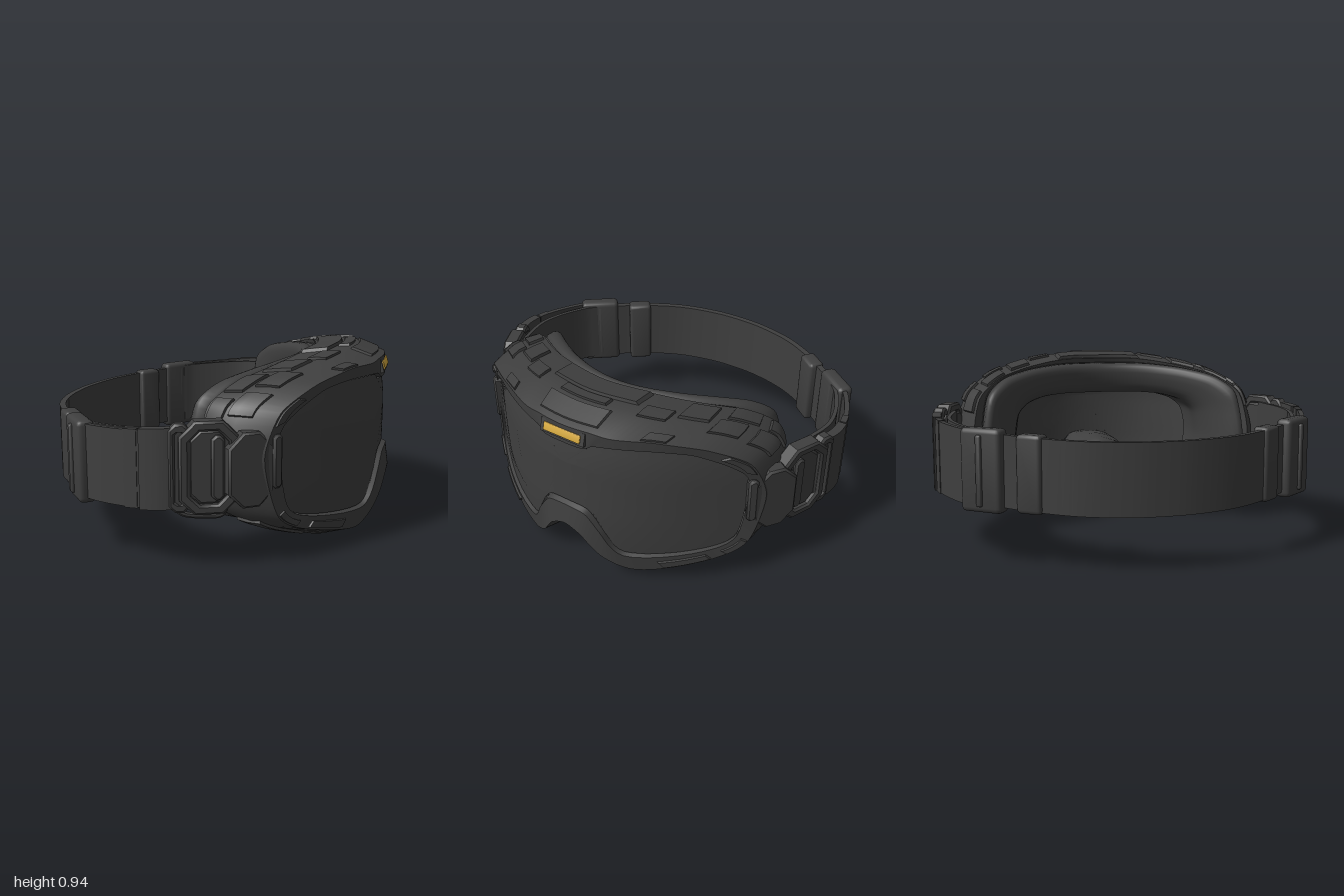
import * as THREE from 'three';
import { toCreasedNormals } from 'three/addons/utils/BufferGeometryUtils.js';
import { RoundedBoxGeometry } from 'three/addons/geometries/RoundedBoxGeometry.js';

const charcoal = new THREE.MeshStandardMaterial({ color: 0x3f3f3f, side: THREE.DoubleSide });
charcoal.name = 'charcoal';
const gold = new THREE.MeshStandardMaterial({ color: 0xd8ab40 });
gold.name = 'gold';

// Half outlines as [z, y], from top centre round the left side to the nose
const LENS = [[0, .77], [.11, .77], [.16, .8], [.4, .81], [.56, .79], [.69, .715], [.765, .62], [.735, .28], [.61, .2], [.28, .165], [.18, .32], [.11, .41], [0, .425]];
const RIM = [[0, .88], [.14, .88], [.24, .87], [.42, .87], [.62, .825], [.78, .72], [.84, .52], [.79, .24], [.66, .14], [.33, .05], [.19, .12], [.09, .255], [0, .3]];
const SHELL = [[0, .935], [.15, .935], [.28, .925], [.46, .895], [.65, .84], [.8, .73], [.86, .5], [.8, .24], [.66, .13], [.33, .003], [.18, .07], [.08, .215], [0, .258]];
const BACK = [[0, .91], [.15, .91], [.28, .9], [.45, .87], [.62, .82], [.74, .72], [.78, .5], [.75, .27], [.62, .165], [.33, .065], [.19, .12], [.085, .25], [0, .29]];
const FOAM = [[0, .885], [.15, .885], [.28, .88], [.45, .86], [.6, .82], [.7, .73], [.735, .5], [.715, .28], [.6, .15], [.34, .06], [.2, .12], [.09, .26], [0, .3]];
const OPENING = [[0, .71], [.12, .71], [.22, .71], [.35, .7], [.45, .67], [.51, .61], [.53, .48], [.51, .36], [.44, .28], [.33, .23], [.24, .29], [.13, .4], [0, .44]];

const mix = (a, b, t) => a.map((p, i) => p.map((c, j) => c + (b[i][j] - c) * t));
const scaled = (o, s) => o.map(([z, y]) => [z * s, .66 + (y - .66) * s]);

// Wrapped front curve: falls away to the sides, the brow and the chin
const front = (z, y) => .84 - .7 * z * z - .5 * Math.max(0, y - .6) ** 2 - .8 * Math.max(0, .3 - y) ** 2;

// Closed ring on the front curve, set back by depth d, which grows by k to the sides
function ring(outline, d, k = .2) {
  const mirrored = outline.slice(1, -1).reverse().map(([z, y]) => [-z, y]);
  const points = [...outline, ...mirrored].map(([z, y]) => new THREE.Vector3(0, y, z));
  const c = new THREE.CatmullRomCurve3(points, true, 'catmullrom', .38);
  return u => {
    const p = c.getPoint(((u % 1) + 1) % 1);
    p.x = front(p.z, p.y) - d * (1 + k * p.z * p.z);
    return p;
  };
}

// Skin over a list of rings
function loft(rings, n = 144) {
  const pos = [], index = [];
  rings.forEach((r, j) => {
    for (let i = 0; i < n; i++) {
      pos.push(...r(i / n).toArray());
      if (!j) continue;
      const k = (i + 1) % n, a = (j - 1) * n, b = j * n;
      index.push(a + i, b + i, a + k, b + i, b + k, a + k);
    }
  });
  const g = new THREE.BufferGeometry();
  g.setAttribute('position', new THREE.Float32BufferAttribute(pos, 3));
  g.setIndex(index);
  return g;
}

// Bend a box by a rule taking (x, y, z) in -0.5..0.5
function bentBox(segments, rule) {
  const g = new THREE.BoxGeometry(1, 1, 1, segments, 1, 2), p = g.attributes.position;
  for (let i = 0; i < p.count; i++) p.setXYZ(i, ...rule(p.getX(i), p.getY(i), p.getZ(i)).toArray());
  return g;
}

const frameRings = [ring(LENS, .03), ring(mix(LENS, RIM, .12), -.018), ring(RIM, -.034), ring(SHELL, .1), ring(mix(SHELL, BACK, .35), .2), ring(BACK, .32), ring(mix(BACK, OPENING, .3), .32)];

function surface(u, v) {
  const j = Math.min(Math.floor(v), frameRings.length - 2);
  return frameRings[j](u).lerp(frameRings[j + 1](u), v - j);
}

// Raised panel on the frame: k counts outline points, v counts rings
function panel(k0, k1, v0, v1, h) {
  return bentBox(10, (x, y, z) => {
    const inset = y > 0 ? .9 : 1;
    const u = ((k0 + k1) / 2 + x * inset * (k1 - k0)) / 24, v = (v0 + v1) / 2 + z * inset * (v1 - v0);
    const p = surface(u, v);
    const du = surface(u + .004, v).sub(surface(u - .004, v));
    const dv = surface(u, v + .04).sub(surface(u, v - .04));
    return p.addScaledVector(dv.cross(du).normalize(), y > 0 ? h : -.012);
  });
}

// Strap band along a path of [x, z]
const strapY = x => .435 + .05 * (x + .88) / .88;
function band(path, t0, t1, height, thick) {
  const c = new THREE.CatmullRomCurve3(path.map(([x, z]) => new THREE.Vector3(x, 0, z)));
  return bentBox(40, (x, y, z) => {
    const t = t0 + (x + .5) * (t1 - t0), p = c.getPoint(t), d = c.getTangent(t);
    p.y = strapY(p.x) + y * height;
    return p.add(new THREE.Vector3(-d.z, 0, d.x).multiplyScalar(z * thick));
  });
}

const place = (g, x, y, z, yaw) => g.rotateY(yaw).translate(x, y, z);

function octagon(path, w, h, c) {
  [[-w + c, -h], [w - c, -h], [w, -h + c], [w, h - c], [w - c, h], [-w + c, h], [-w, h - c], [-w, -h + c]]
    .forEach(([x, y], i) => i ? path.lineTo(x, y) : path.moveTo(x, y));
  path.closePath();
  return path;
}

// Chamfered plate with an optional window
function plate(w, h, c, depth, border = 0) {
  const s = octagon(new THREE.Shape(), w / 2, h / 2, c);
  if (border) s.holes.push(octagon(new THREE.Path(), w / 2 - border, h / 2 - border, c * .7));
  const b = .01;
  return new THREE.ExtrudeGeometry(s, { depth, bevelEnabled: true, bevelThickness: b, bevelSize: b, bevelOffset: -b, bevelSegments: 1 }).translate(0, 0, -depth / 2);
}

function mirror(g) {
  const m = g.index ? g.toNonIndexed() : g.clone();
  m.scale(1, 1, -1);
  const p = m.attributes.position, a = new THREE.Vector3(), b = new THREE.Vector3();
  for (let i = 0; i < p.count; i += 3) {
    a.fromBufferAttribute(p, i + 1);
    b.fromBufferAttribute(p, i + 2);
    p.setXYZ(i + 1, b.x, b.y, b.z);
    p.setXYZ(i + 2, a.x, a.y, a.z);
  }
  return m;
}

export function createModel() {
  const model = new THREE.Group();
  model.name = 'goggles';
  const add = (name, g, mat = charcoal, crease = .6) => {
    g.deleteAttribute('uv');
    g.deleteAttribute('normal');
    const m = new THREE.Mesh(toCreasedNormals(g, crease), mat);
    m.name = name;
    model.add(m);
  };
  const pair = (name, g) => {
    add(name + 'Right', mirror(g));
    add(name + 'Left', g);
  };

  // Lens, frame and face foam
  add('lens', loft([.0005, .25, .5, .75, 1].map(s => ring(scaled(LENS, s), .003))), charcoal, 1);
  add('frame', loft(frameRings));
  const foam = [ring(mix(BACK, OPENING, .12), .3), ring(FOAM, .315), ring(FOAM, .335), ring(mix(FOAM, OPENING, .1), .35)];
  for (let i = 0; i <= 12; i++) {
    const a = Math.PI * i / 12, c = Math.cos(a);
    const across = (1 - Math.sign(c) * Math.abs(c) ** .75) / 2, bulge = Math.max(0, Math.sin(a)) ** .7;
    foam.push(ring(mix(FOAM, OPENING, across), .36 + .075 * bulge, .2 + .25 * bulge));
  }
  foam.push(ring(OPENING, .3), ring(scaled(OPENING, .95), .27), ring(scaled(LENS, .93), .1), ring(scaled(LENS, .96), .02));
  add('faceFoam', loft(foam), charcoal, 1);

  // Brow pieces and gold badge
  add('browBlock', panel(-1.3, 1.3, 2.2, 2.9, .01));
  add('topBridge', panel(-1.8, 1.8, 3.7, 4.9, .016));
  add('topRidge', panel(-.9, .9, 3, 3.6, .012));
  add('badgeMount', new THREE.BoxGeometry(.25, .065, .03).rotateX(-.3).rotateY(Math.PI / 2).translate(.823, .833, 0));
  add('badge', new RoundedBoxGeometry(.21, .042, .009, 2, .004).rotateX(-.3).rotateY(Math.PI / 2).translate(.841, .837, 0), gold);

  // Raised vents and armour on both sides of the frame
  [
    ['browVent', 2.65, 3.25, 2.05, 2.4, .01], ['cheekVent', 8, 8.6, 1.35, 1.85, .01],
    ['topBlock', 2, 2.7, 2.9, 3.8, .012], ['topBlock', 2.8, 3.5, 3.3, 4.7, .014],
    ['topBlock', 3.6, 4.3, 2.7, 3.7, .012], ['topBlock', 3.7, 4.5, 3.9, 4.9, .012],
    ['cornerBlock', 4.5, 5.2, 2.6, 3.6, .014], ['cornerBlock', 4.7, 5.4, 3.8, 4.8, .014],
    ['lowerBlock', 7.3, 8.4, 2.7, 3.8, .012], ['cornerTrim', 4.5, 5.4, 1.4, 1.9, .01], ['lowerTrim', 7, 7.7, 1.4, 1.9, .01],
  ].forEach(([name, ...p]) => pair(name, panel(...p)));

  // Strap round the back of the head
  const half = [[-.855, .15], [-.795, .37], [-.67, .58], [-.5, .78]];
  add('rearStrap', band([...half.map(([x, z]) => [x, -z]).reverse(), [-.865, 0], ...half], 0, 1, .345, .032));
  const outer = [[-.5, .82], [-.42, .88], [-.23, .96], [-.07, .975], [.07, .935]];
  pair('outerStrap', band(outer, 0, 1, .36, .025));
  pair('innerStrap', band([[-.48, .78], [-.42, .825], [-.26, .893], [-.12, .915], [.1, .87]], 0, 1, .35, .02));
  pair('strapClip', band(outer, .62, .86, .375, .045));
  pair('strapSleeve', band(outer, .5, .6, .368, .032));

  // Sliding adjusters
  pair('slider', place(new RoundedBoxGeometry(.13, .37, .085, 2, .02), -.655, .447, .58, -.9));
  pair('adjuster', place(new RoundedBoxGeometry(.22, .4, .085, 2, .025), -.52, .452, .785, -.9));
  pair('adjusterBar', place(new RoundedBoxGeometry(.03, .34, .1, 2, .01), -.525, .452, .79, -.9));

  // Side arms that join strap and frame
  pair('armLoop', place(plate(.1, .41, .03, .04, .03), .02, .485, .95, .36));
  pair('armFrame', place(plate(.27, .43, .07, .06, .045), .14, .485, .9, .42));
  pair('armInsert', place(plate(.19, .34, .05, .05), .14, .485, .885, .42));
  pair('armRib', place(plate(.06, .3, .02, .05), .18, .485, .89, .42));
  pair('hingePlate', place(plate(.22, .35, .07, .05), .315, .47, .84, .62));
  pair('hingeLug', place(plate(.05, .25, .015, .03), .425, .5, .785, .8));
  const wire = [[-.01, .3, .945], [.03, .265, .93], [.12, .248, .885], [.19, .25, .85], [.21, .29, .84]].map(p => new THREE.Vector3(...p));
  pair('wireLoop', new THREE.TubeGeometry(new THREE.CatmullRomCurve3(wire), 20, .014, 8));

  return model;
}
